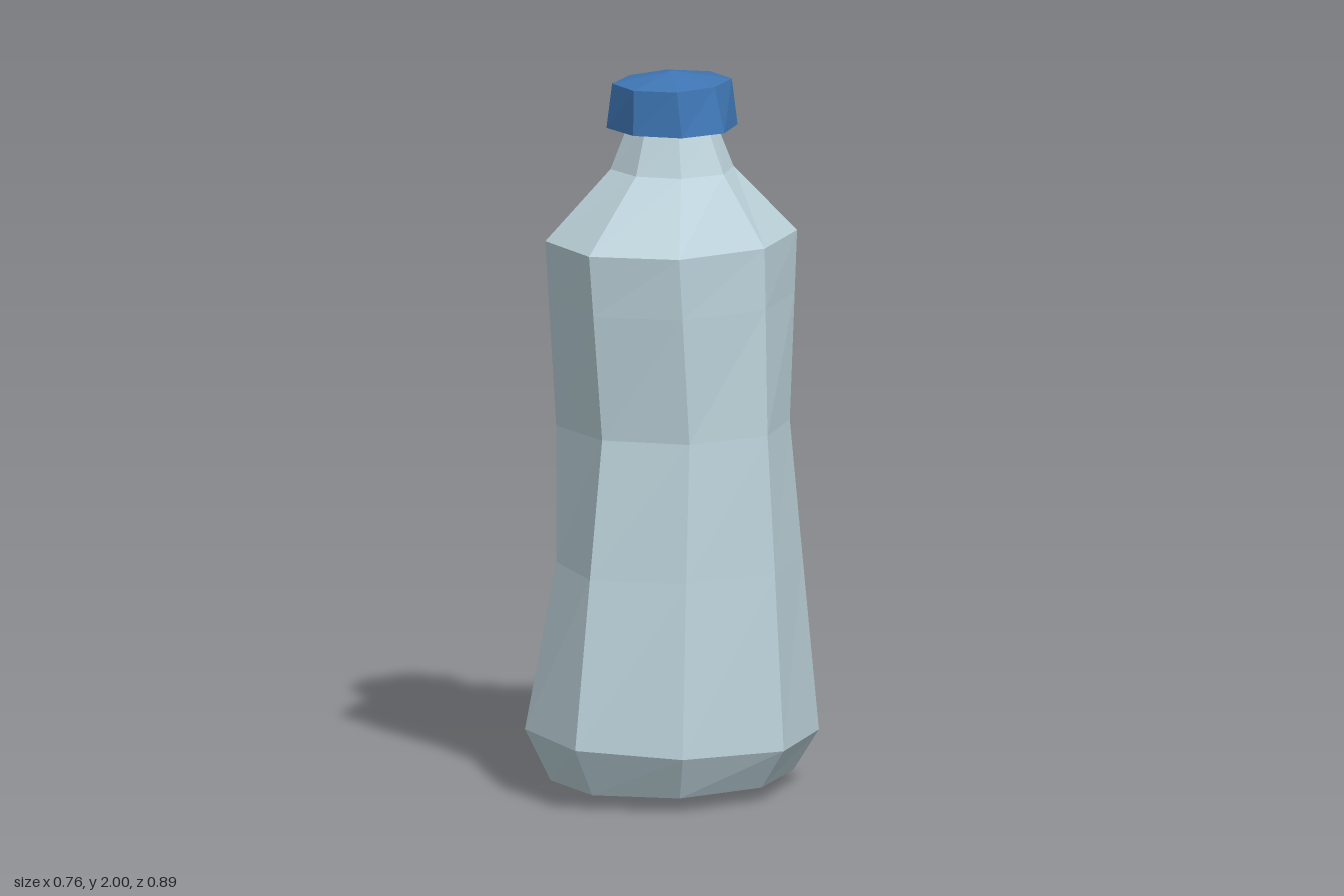
import * as THREE from 'three';

const paint = (name, color) => {
  const m = new THREE.MeshStandardMaterial({ color });
  m.name = name;
  return m;
};

// Eight-sided ring, counterclockwise from the front; the +x and -x halves may differ.
// Each half is [x of the side corner, x of the diagonals, z of the diagonals].
const ring = (y, z, plus, minus = plus, tilt = 0) => {
  const [px, pdx, pdz] = plus, [mx, mdx, mdz] = minus;
  return [[0, z], [pdx, pdz], [px, 0], [pdx, -pdz], [0, -z], [-mdx, -mdz], [-mx, 0], [-mdx, mdz]]
    .map(([x, d]) => new THREE.Vector3(x, y - tilt * x + tilt * 0.4 * d, d));
};
const point = (y) => ring(y, 0, [0, 0, 0]);
const lerpRing = (a, b, t) => a.map((p, i) => p.clone().lerp(b[i], t));

// Push a quad as two triangles, leaving out collapsed ones
const quad = (out, a, b, c, d) => {
  for (const t of [[a, b, c], [a, c, d]]) {
    if (t[0].equals(t[1]) || t[1].equals(t[2]) || t[2].equals(t[0])) continue;
    for (const p of t) out.push(p.x, p.y, p.z);
  }
};

const meshFrom = (name, positions, material) => {
  const g = new THREE.BufferGeometry();
  g.setAttribute('position', new THREE.Float32BufferAttribute(positions, 3));
  g.computeVertexNormals();
  const mesh = new THREE.Mesh(g, material);
  mesh.name = name;
  return mesh;
};

// Skin between successive rings, with optional openings
const loft = (rings, isOpen = () => false) => {
  const out = [];
  for (let r = 0; r < rings.length - 1; r++) {
    for (let k = 0; k < 8; k++) {
      if (isOpen(r, k)) continue;
      const n = (k + 1) % 8;
      quad(out, rings[r][k], rings[r][n], rings[r + 1][n], rings[r + 1][k]);
    }
  }
  return out;
};

export function createModel() {
  const model = new THREE.Group();
  model.name = 'bottle';
  const plastic = paint('pale blue plastic', 0xbcd2da);
  const capBlue = paint('cap blue', 0x3f76b4);
  const inks = {
    blue: paint('label blue', 0x4f769f),
    purple: paint('label purple', 0x5a4378),
    grey: paint('label grey', 0xa8bcc4),
  };

  // Bottle body, waisted in the middle and open where the label sits
  const waist = ring(1.02, 0.32, [0.325, 0.23, 0.23], [0.32, 0.23, 0.22]);
  const shoulder = ring(1.54, 0.38, [0.315, 0.225, 0.27], [0.32, 0.23, 0.27]);
  const labelBottom = ring(0.64, 0.376, [0.35, 0.246, 0.266], [0.32, 0.23, 0.22]);
  const labelTop = lerpRing(waist, shoulder, 0.673);
  const body = [
    point(0),
    ring(0.04, 0.365, [0.305, 0.22, 0.26]),
    ring(0.167, 0.443, [0.38, 0.268, 0.312], undefined, 0.046),
    labelBottom,
    waist,
    labelTop,
    shoulder,
    ring(1.73, 0.165, [0.175, 0.12, 0.12]),
    ring(1.845, 0.125, [0.125, 0.088, 0.088]),
  ];
  const isLabel = (r, k) => (r === 3 || r === 4) && (k === 5 || k === 6);
  model.add(meshFrom('body', loft(body, isLabel), plastic));

  // Screw cap
  const cap = [
    point(1.838),
    ring(1.845, 0.178, [0.178, 0.128, 0.128]),
    ring(1.97, 0.176, [0.145, 0.11, 0.126]),
    point(2),
  ];
  model.add(meshFrom('cap', loft(cap), capBlue));

  // Label: bands of [bottom y, top y, split at bottom, split at top, first ink, second ink]
  const bands = {
    5: [
      [0.64, 0.66, 1, 1, 'grey'],
      [0.66, 0.69, 0.38, 0.32, 'grey', 'blue'],
      [0.69, 1.02, 0.32, 0.32, 'grey', 'blue'],
      [1.02, 1.23, 0.32, 0.32, 'grey', 'blue'],
      [1.23, 1.25, 0.32, 0.26, 'grey', 'blue'],
      [1.25, 1.37, 1, 1, 'blue'],
    ],
    6: [
      [0.64, 0.66, 1, 1, 'grey'],
      [0.66, 0.68, 0.42, 0.52, 'blue', 'grey'],
      [0.68, 0.84, 0.52, 0.52, 'blue', 'grey'],
      [0.84, 0.87, 0.28, 0.22, 'blue', 'purple'],
      [0.87, 1.02, 0.22, 0.22, 'blue', 'purple'],
      [1.02, 1.25, 0.22, 0.22, 'blue', 'purple'],
      [1.25, 1.37, 0.22, 0.62, 'blue', 'purple'],
    ],
  };
  const at = (k, s, y) => {
    const [a, b] = y <= 1.02 ? [labelBottom, waist] : [waist, labelTop];
    const r = lerpRing(a, b, (y - a[0].y) / (b[0].y - a[0].y));
    return r[k].clone().lerp(r[k + 1], s);
  };
  const cells = { blue: [], purple: [], grey: [] };
  for (const k of [5, 6]) {
    for (const [y0, y1, s0, s1, first, second] of bands[k]) {
      quad(cells[first], at(k, 0, y0), at(k, s0, y0), at(k, s1, y1), at(k, 0, y1));
      if (second) quad(cells[second], at(k, s0, y0), at(k, 1, y0), at(k, 1, y1), at(k, s1, y1));
    }
  }
  const label = new THREE.Group();
  label.name = 'label';
  for (const ink in cells) label.add(meshFrom(ink + 'LabelArea', cells[ink], inks[ink]));
  model.add(label);

  return model;
}
